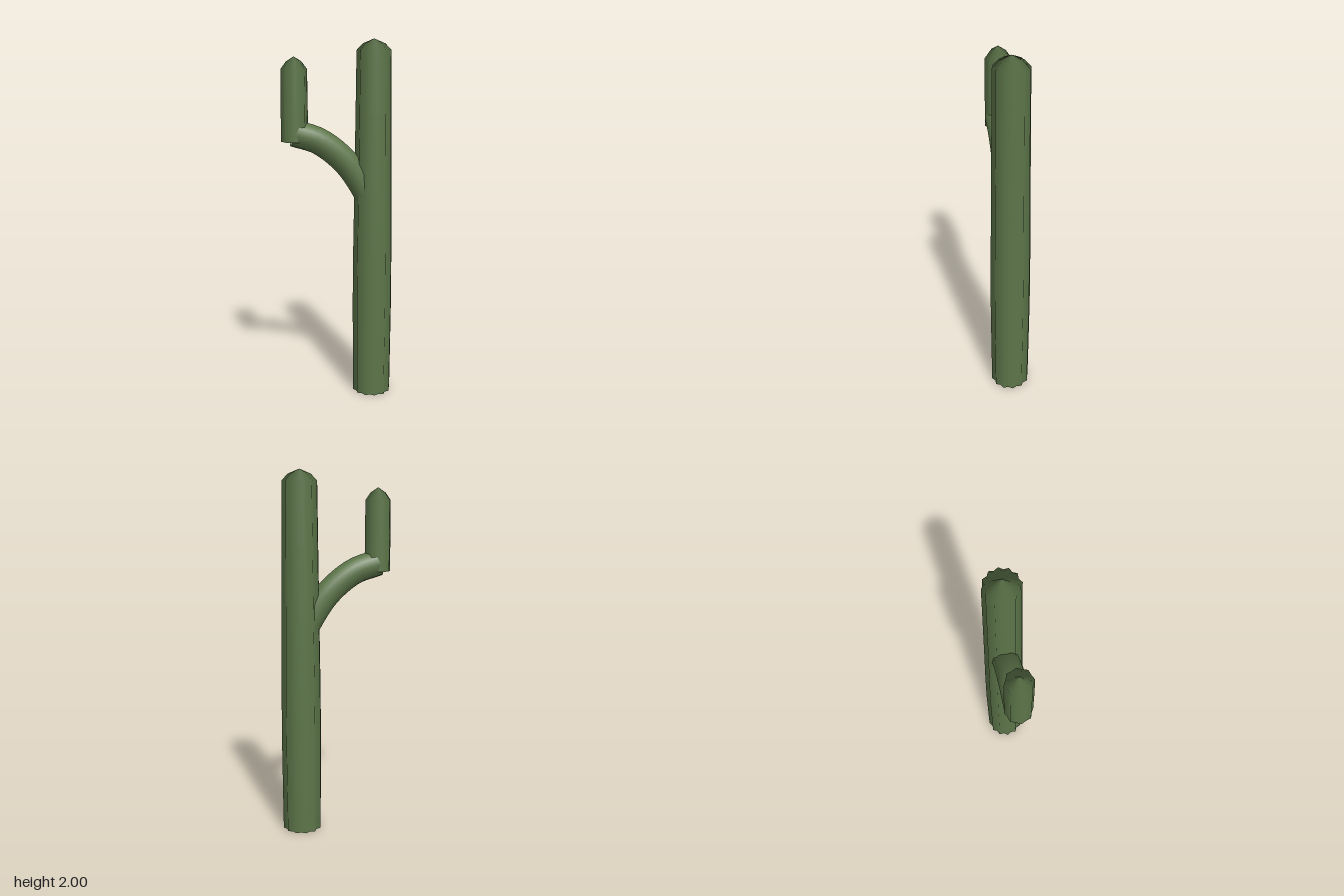
import * as THREE from 'three';

const green = new THREE.MeshStandardMaterial({ color: 0x5c7549, side: THREE.DoubleSide });
green.name = 'cactus green';

// Fluted open column; profile lists [ridge radius, height] from top to bottom.
// The round column's normals are kept, so the flutes stay softly shaded.
function column(name, profile, ridges, valley) {
  const seg = ridges * 2;
  const geo = new THREE.CylinderGeometry(1, 1, 1, seg, profile.length - 1, true);
  const pos = geo.attributes.position;
  for (let i = 0; i < pos.count; i++) {
    const [radius, y] = profile[Math.floor(i / (seg + 1))];
    const a = (i % (seg + 1)) / seg * Math.PI * 2;
    const r = radius * (i % (seg + 1) % 2 ? valley : 1);
    pos.setXYZ(i, Math.sin(a) * r, y, Math.cos(a) * r);
  }
  const mesh = new THREE.Mesh(geo, green);
  mesh.name = name;
  return mesh;
}

export function createModel() {
  const cactus = new THREE.Group();
  cactus.name = 'cactus';

  // Main stem, slightly swollen in the lower half, with a domed tip
  const trunk = column('trunk', [
    [0.002, 2], [0.062, 1.975], [0.096, 1.94], [0.1, 1.6], [0.105, 1.2],
    [0.11, 0.85], [0.112, 0.55], [0.11, 0.25], [0.108, 0],
  ], 12, 0.87);
  trunk.position.set(0.088, 0, -0.17);
  cactus.add(trunk);

  // Side arm, built along +z and turned about the trunk axis
  const arm = new THREE.Group();
  arm.name = 'arm';
  arm.position.copy(trunk.position);
  arm.rotation.y = -0.527;
  const path = new THREE.CatmullRomCurve3([
    [0.02, 1.13], [0.062, 1.21], [0.155, 1.34], [0.3, 1.455], [0.435, 1.5],
  ].map(([z, y]) => new THREE.Vector3(0, y, z)));
  const elbow = new THREE.Mesh(new THREE.TubeGeometry(path, 14, 0.073, 12), green);
  elbow.name = 'elbow';

  // Upright end of the arm
  const upright = column('upright', [
    [0.002, 1.905], [0.042, 1.88], [0.071, 1.84], [0.073, 1.65], [0.073, 1.455],
  ], 8, 0.89);
  upright.position.z = 0.434;
  arm.add(elbow, upright);
  cactus.add(arm);
  return cactus;
}
